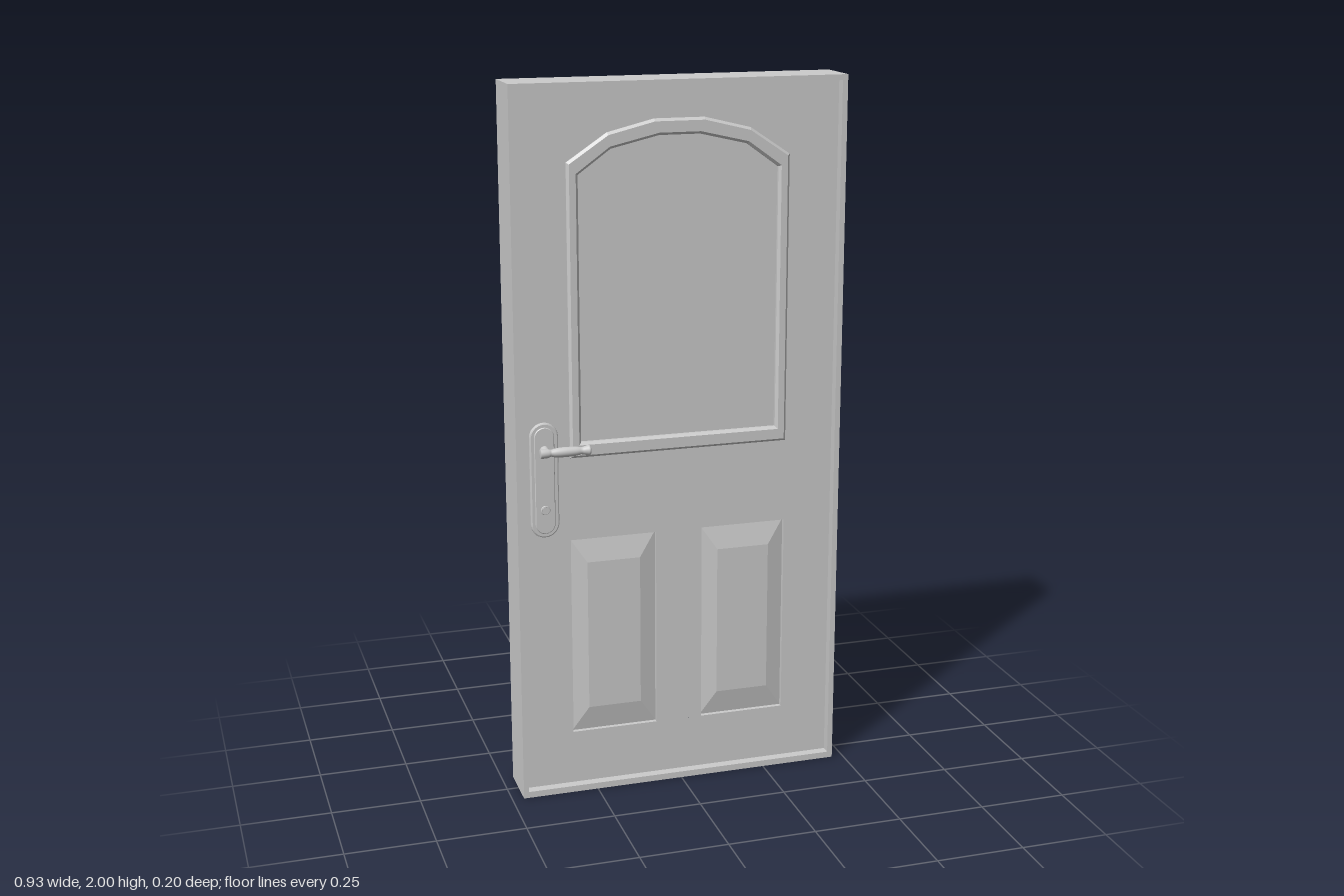
import * as THREE from 'three';

const grey = new THREE.MeshStandardMaterial({ color: 0xcccccc });

function add(parent, name, geometry, x = 0, y = 0, z = 0) {
  const mesh = new THREE.Mesh(geometry, grey);
  mesh.name = name;
  mesh.position.set(x, y, z);
  parent.add(mesh);
  return mesh;
}

const polygon = (points) => points.map(([x, y]) => new THREE.Vector2(x, y));
const rect = (x0, y0, x1, y1) => polygon([[x0, y0], [x1, y0], [x1, y1], [x0, y1]]);

// Window outline with a faceted arched top, given the right half of the arch
const arch = (bottom, half) => polygon([
  [-half[0][0], bottom], [half[0][0], bottom], ...half,
  ...half.slice().reverse().map(([x, y]) => [-x, y]),
]);

// Rounded plate outline centred on the origin
function stadium(r, straight) {
  const s = new THREE.Shape();
  s.absarc(0, straight / 2, r, 0, Math.PI);
  s.absarc(0, -straight / 2, r, Math.PI, Math.PI * 2);
  return s.closePath();
}

// Slab centred on z = 0 with optional holes and bevelled edges
function slab(outline, holes, depth, bevel = 0) {
  const shape = new THREE.Shape(outline);
  shape.holes = holes.map((h) => new THREE.Path(h));
  const geo = new THREE.ExtrudeGeometry(shape, {
    depth: depth - 2 * bevel, bevelEnabled: bevel > 0, bevelThickness: bevel,
    bevelSize: bevel, bevelOffset: -bevel, bevelSegments: 1,
  });
  return geo.translate(0, 0, -depth / 2 + bevel);
}

// Raised panel: a box whose two faces shrink to a smaller field
function raisedPanel(w, h, edge, field, insetX, insetY) {
  const geo = new THREE.BoxGeometry(w, h, 2 * field, 1, 1, 3);
  const p = geo.attributes.position;
  for (let i = 0; i < p.count; i++) {
    const x = p.getX(i), y = p.getY(i), z = p.getZ(i);
    if (Math.abs(z) > field * 0.9) {
      p.setXY(i, x - Math.sign(x) * insetX, y - Math.sign(y) * insetY);
    } else p.setZ(i, Math.sign(z) * edge);
  }
  const flat = geo.toNonIndexed();
  flat.computeVertexNormals();
  return flat;
}

// Handle set facing +z, origin at the middle of the back plate
function handleSet() {
  const set = new THREE.Group();
  const base = new THREE.ExtrudeGeometry(stadium(0.036, 0.246), {
    depth: 0.003, bevelThickness: 0.005, bevelSize: 0.004, bevelSegments: 2, curveSegments: 12,
  });
  add(set, 'backPlate', base);
  add(set, 'plateFace', new THREE.ExtrudeGeometry(stadium(0.026, 0.246), {
    depth: 0.009, bevelThickness: 0.002, bevelSize: 0.002, bevelSegments: 1, curveSegments: 12,
  }));

  // Lock cylinder and its ring
  const lock = add(set, 'lockCylinder', new THREE.CylinderGeometry(0.01, 0.01, 0.015, 20), 0, -0.083, 0.0075);
  lock.rotation.x = Math.PI / 2;
  add(set, 'lockRing', new THREE.TorusGeometry(0.011, 0.0025, 8, 24), 0, -0.083, 0.011);

  // Spindle and turned lever
  const spindle = add(set, 'spindle', new THREE.CylinderGeometry(0.01, 0.013, 0.04, 20), 0, 0.088, 0.023);
  spindle.rotation.x = Math.PI / 2;
  const profile = polygon([
    [0, -0.02], [0.012, -0.02], [0.0135, -0.018], [0.0125, 0.002], [0.01, 0.008],
    [0.0095, 0.012], [0.0115, 0.018], [0.0135, 0.035], [0.0138, 0.055], [0.0125, 0.078],
    [0.011, 0.09], [0.0095, 0.094], [0.0105, 0.1], [0.0145, 0.114], [0.0145, 0.118],
    [0.012, 0.12], [0, 0.12],
  ]);
  const lever = add(set, 'lever', new THREE.LatheGeometry(profile, 24), 0, 0.088, 0.043);
  lever.rotation.z = -Math.PI / 2;
  return set;
}

export function createModel() {
  const door = new THREE.Group();
  door.name = 'door';
  const face = 0.045;

  // Outer frame
  add(door, 'frame', slab(rect(-0.467, 0, 0.467, 2), [rect(-0.452, 0.018, 0.452, 1.985)], 0.144));

  // Leaf with openings for the arched panel and two lower panels
  const outer = arch(0.985, [[0.312, 1.79], [0.2, 1.865], [0.07, 1.897]]);
  const inner = arch(1.028, [[0.28, 1.757], [0.19, 1.822], [0.057, 1.853]]);
  const lower = [-1, 1].map((s) => rect(s * 0.19 - 0.123, 0.173, s * 0.19 + 0.123, 0.748));
  add(door, 'leaf', slab(rect(-0.452, 0.018, 0.452, 1.985), [inner, ...lower], 2 * face));

  // Arched moulding and its recessed panel
  add(door, 'archMoulding', slab(outer, [inner], 2 * (face + 0.01), 0.007));
  add(door, 'archPanel', slab(inner, [], 2 * (face - 0.006)));

  // Lower raised panels
  for (const s of [-1, 1]) {
    add(door, s < 0 ? 'rightLowerPanel' : 'leftLowerPanel',
      raisedPanel(0.246, 0.575, face - 0.013, face, 0.047, 0.07), s * 0.19, 0.4605, 0);
  }

  // Handle sets on both faces, mirrored front to back
  const front = handleSet();
  front.name = 'frontHandle';
  front.position.set(-0.385, 0.928, face);
  const back = handleSet();
  back.name = 'backHandle';
  back.position.set(-0.385, 0.928, -face);
  back.scale.z = -1;
  door.add(front, back);
  return door;
}
